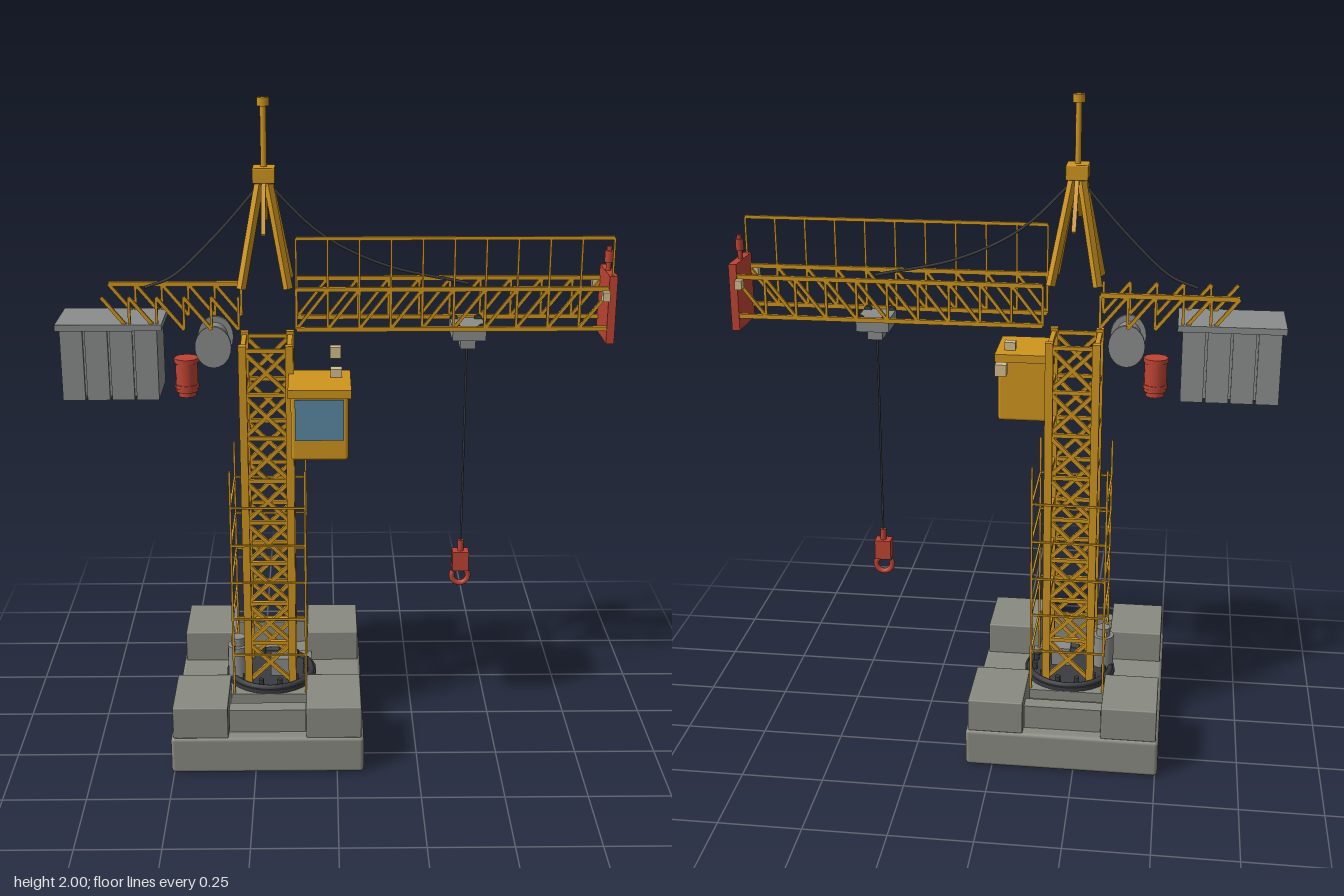
import * as THREE from 'three';
import { RoundedBoxGeometry } from 'three/addons/geometries/RoundedBoxGeometry.js';

const mat = (name, color) => {
  const m = new THREE.MeshStandardMaterial({ color });
  m.name = name;
  return m;
};
const V = (x, y, z) => new THREE.Vector3(x, y, z);

export function createModel() {
  const yellow = mat('craneYellow', 0xd0961e);
  const concrete = mat('concreteGrey', 0x898a81);
  const steel = mat('steelGrey', 0x8b8d8c);
  const red = mat('signalRed', 0xbe4433);
  const dark = mat('darkSteel', 0x3a3c40);
  const glass = mat('windowBlue', 0x5d8aa3);
  const cream = mat('lampCream', 0xd6bf8c);

  const model = new THREE.Group();
  model.name = 'towerCrane';
  const group = (name) => {
    const g = new THREE.Group();
    g.name = name;
    model.add(g);
    return g;
  };
  const add = (parent, name, geo, material, x = 0, y = 0, z = 0) => {
    const m = new THREE.Mesh(geo, material);
    m.name = name;
    m.position.set(x, y, z);
    parent.add(m);
    return m;
  };
  // box given by its lower and upper limits
  const box = (p, name, material, x0, x1, y0, y1, z0, z1) =>
    add(p, name, new THREE.BoxGeometry(x1 - x0, y1 - y0, z1 - z0), material,
      (x0 + x1) / 2, (y0 + y1) / 2, (z0 + z1) / 2);
  // square bar between two points
  const bar = (p, name, a, b, t, material = yellow) => {
    const m = add(p, name, new THREE.BoxGeometry(t, t, a.distanceTo(b)), material);
    m.position.copy(a).add(b).multiplyScalar(0.5);
    m.lookAt(b);
    return m;
  };
  const cyl = (p, name, material, r, h, x, y, z, sides = 16, r2 = r) =>
    add(p, name, new THREE.CylinderGeometry(r, r2, h, sides), material, x, y, z);

  const cx = -0.21;
  const signs = [-1, 1];

  // Foundation with ballast blocks
  const base = group('foundation');
  add(base, 'baseSlab', new RoundedBoxGeometry(0.59, 0.12, 0.72, 2, 0.012), concrete, cx - 0.003, 0.06, 0);
  for (const s of signs) {
    for (const t of signs) {
      add(base, 'ballastBlock', new RoundedBoxGeometry(0.168, 0.105, 0.212, 1, 0.004), concrete,
        cx - 0.003 + s * 0.203, 0.17, t * 0.249);
    }
    box(base, 'crossBeam', concrete, -0.33, -0.095, 0.115, 0.195, s * 0.298 - 0.023, s * 0.298 + 0.023);
  }
  box(base, 'mastFooting', concrete, -0.34, -0.08, 0.115, 0.152, -0.145, 0.145);

  // Bolted ring at the mast foot
  cyl(base, 'footPlate', dark, 0.145, 0.014, cx, 0.158, 0, 32);
  const ring = add(base, 'footRing', new THREE.TorusGeometry(0.13, 0.01, 6, 32), dark, cx, 0.165, 0);
  ring.rotation.x = Math.PI / 2;
  for (let i = 0; i < 12; i++) {
    const a = (i + 0.5) * Math.PI / 6;
    cyl(base, 'bolt', dark, 0.009, 0.025, cx + Math.cos(a) * 0.115, 0.175, Math.sin(a) * 0.115, 6);
  }

  // Ground machinery
  const motor = group('motor');
  cyl(motor, 'motorBody', steel, 0.034, 0.11, -0.315, 0.215, 0.03);
  cyl(motor, 'motorCap', steel, 0.022, 0.03, -0.315, 0.283, 0.03);
  box(motor, 'controlBox', steel, -0.21, -0.15, 0.165, 0.225, 0.0, 0.05);

  // Lattice mast
  const mast = group('mast');
  const mx = 0.07, mz = 0.083, bay = 0.138, y0 = 0.165;
  for (const s of signs) {
    for (const t of signs) {
      box(mast, 'mastLeg', yellow, cx + s * mx - 0.012, cx + s * mx + 0.012, 0.16, 1.285,
        t * mz - 0.012, t * mz + 0.012);
    }
    for (let i = 0; i < 8; i++) {
      const a = y0 + i * bay, b = a + bay;
      bar(mast, 'sideRung', V(cx + s * mx, b, -mz), V(cx + s * mx, b, mz), 0.015);
      bar(mast, 'faceRung', V(cx - mx, b, s * mz), V(cx + mx, b, s * mz), 0.012);
      bar(mast, 'brace', V(cx - mx, a, s * mz), V(cx + mx, b, s * mz), 0.012);
      bar(mast, 'brace', V(cx + mx, a, s * mz), V(cx - mx, b, s * mz), 0.012);
    }
  }

  // Thin guard cage around the lower mast
  const cage = group('guardCage');
  const gx = 0.114, gz = 0.133;
  for (const s of signs) {
    for (const t of signs) {
      bar(cage, 'cagePole', V(cx + s * gx, 0.15, t * gz), V(cx + s * gx, 0.905, t * gz), 0.007, yellow);
    }
    for (let i = 0; i < 5; i++) {
      const y = 0.285 + i * 0.125;
      bar(cage, 'cageRail', V(cx - gx, y, s * gz), V(cx + gx, y, s * gz), 0.006);
      bar(cage, 'cageRail', V(cx + s * gx, y, -gz), V(cx + s * gx, y, gz), 0.006);
    }
  }

  // Operator cabin
  const cabin = group('cabin');
  add(cabin, 'cabinBody', new RoundedBoxGeometry(0.168, 0.2, 0.18, 2, 0.01), yellow, -0.05, 1.08, 0.155);
  box(cabin, 'cabinRoof', yellow, -0.142, 0.042, 1.175, 1.2, 0.053, 0.256);
  box(cabin, 'cabinWindow', glass, -0.122, 0.02, 1.045, 1.168, 0.243, 0.251);
  box(cabin, 'cabinLamp', cream, -0.017, 0.017, 1.195, 1.225, 0.1, 0.13);
  box(model, 'sideLamp', cream, -0.017, 0.017, 1.19, 1.225, -0.133, -0.103);

  // Apex frame
  const apex = group('apexFrame');
  add(apex, 'apexBlock', new RoundedBoxGeometry(0.066, 0.045, 0.076, 1, 0.004), yellow, cx, 1.78, 0);
  cyl(apex, 'apexPole', yellow, 0.009, 0.19, cx, 1.89, 0, 8);
  cyl(apex, 'poleCap', yellow, 0.018, 0.024, cx, 1.988, 0, 8);
  for (const s of signs) {
    for (const t of signs) {
      bar(apex, 'apexLeg', V(cx + s * 0.012, 1.765, t * 0.014), V(cx + s * 0.069, 1.455, t * 0.076), 0.02);
    }
    bar(apex, 'apexArm', V(cx, 1.765, s * 0.022), V(cx, 1.625, s * 0.124), 0.013);
  }

  // Jib with N-truss sides and a handrail along the front
  const jib = group('jib');
  const jx0 = -0.118, jx1 = 0.812, jz = 0.072, bays = 10, step = (jx1 - jx0) / bays;
  for (const s of signs) {
    const z = s * jz;
    bar(jib, 'lowerChord', V(jx0, 1.332, z), V(jx1, 1.332, z), 0.013);
    bar(jib, 'upperChord', V(jx0, 1.453, z), V(jx1, 1.453, z), 0.013);
    for (let i = 0; i <= bays; i++) {
      const x = jx0 + i * step;
      bar(jib, 'jibPost', V(x, 1.332, z), V(x, 1.453, z), 0.008);
      if (i < bays) bar(jib, 'jibBrace', V(x, 1.332, z), V(x + step, 1.453, z), 0.009);
      if (s > 0) bar(jib, 'railPost', V(x, 1.453, z), V(x, 1.605, z), 0.006);
    }
    box(jib, 'tipLamp', cream, 0.782, 0.803, 1.42, 1.448, s * 0.09 - 0.013, s * 0.09 + 0.013);
  }
  bar(jib, 'handrail', V(jx0, 1.605, jz), V(jx1, 1.605, jz), 0.01);
  box(jib, 'endPanel', red, 0.802, 0.826, 1.287, 1.492, -0.081, 0.081);
  cyl(jib, 'endBeaconStem', red, 0.008, 0.08, 0.812, 1.525, 0, 8);
  cyl(jib, 'endBeacon', red, 0.013, 0.035, 0.812, 1.535, 0, 8);

  // Counter-jib
  const counter = group('counterJib');
  const kx0 = -0.69, kx1 = -0.288, kz = 0.083, kb = 5, ks = (kx1 - kx0) / kb;
  bar(counter, 'counterChord', V(kx0, 1.434, -kz), V(kx1, 1.434, -kz), 0.014);
  for (const s of signs) {
    for (let i = 0; i < kb; i++) {
      const x = kx0 + i * ks;
      bar(counter, 'counterBrace', V(x, 1.434, s * kz), V(x + ks, 1.335, s * kz), 0.01);
      bar(counter, 'counterPost', V(x + ks, 1.335, s * kz), V(x + ks, 1.434, s * kz), 0.008);
    }
  }

  // Counterweight slabs hung under a lid
  const weight = group('counterweight');
  box(weight, 'weightLid', steel, -0.83, -0.515, 1.335, 1.354, -0.099, 0.099);
  box(weight, 'weightCore', steel, -0.805, -0.54, 1.13, 1.336, -0.085, 0.085);
  for (let i = 0; i < 4; i++) {
    const x = -0.817 + i * 0.0735;
    box(weight, 'weightSlab', steel, x, x + 0.067, 1.12, 1.336, -0.094, 0.094);
  }

  // Winch drum
  const winch = group('winch');
  winch.position.set(-0.367, 1.275, 0);
  winch.scale.x = 0.85;
  const drum = cyl(winch, 'drum', steel, 0.045, 0.12, 0, 0, 0, 24);
  drum.rotation.x = Math.PI / 2;
  for (const s of signs) {
    cyl(winch, 'drumFlange', steel, 0.064, 0.012, 0, 0, s * 0.06, 24).rotation.x = Math.PI / 2;
  }

  // Hanging red motor
  const hoist = group('hoistMotor');
  cyl(hoist, 'hoistBody', red, 0.034, 0.1, -0.454, 1.17, 0, 12);
  cyl(hoist, 'hoistTop', red, 0.038, 0.014, -0.454, 1.218, 0, 8);
  cyl(hoist, 'hoistCollar', red, 0.037, 0.012, -0.454, 1.137, 0, 12);
  cyl(hoist, 'hoistFoot', red, 0.028, 0.03, -0.454, 1.12, 0, 12);

  // Trolley, rope and hook
  const trolley = group('trolley');
  box(trolley, 'trolleyBody', steel, 0.347, 0.447, 1.292, 1.33, -0.064, 0.064);
  box(trolley, 'trolleyHousing', steel, 0.374, 0.42, 1.258, 1.293, -0.03, 0.03);
  for (const s of signs) for (const t of signs) {
    cyl(trolley, 'trolleyWheel', dark, 0.012, 0.014, 0.397 + s * 0.037, 1.33, t * 0.056, 12).rotation.x = Math.PI / 2;
  }
  cyl(trolley, 'hoistRope', dark, 0.0035, 0.68, 0.396, 0.93, 0, 6);
  const hook = group('hook');
  box(hook, 'hookBlock', red, 0.37, 0.421, 0.52, 0.584, -0.02, 0.02);
  cyl(hook, 'ropeSocket', red, 0.01, 0.04, 0.396, 0.6, 0, 8);
  const loop = add(hook, 'hookLoop', new THREE.TorusGeometry(0.026, 0.009, 8, 20, Math.PI * 1.7), red, 0.396, 0.497, 0);
  loop.rotation.z = Math.PI * 0.8;

  // Sagging stay cables
  const stays = group('stayCables');
  const stay = (pts) => add(stays, 'stayCable', new THREE.TubeGeometry(
    new THREE.CatmullRomCurve3(pts.map(([x, y]) => V(x, y, 0))), 24, 0.005, 6), dark);
  stay([[cx, 1.765], [-0.36, 1.595], [-0.49, 1.475], [-0.57, 1.443]]);
  stay([[cx, 1.765], [-0.045, 1.605], [0.14, 1.512], [0.397, 1.453]]);

  return model;
}
